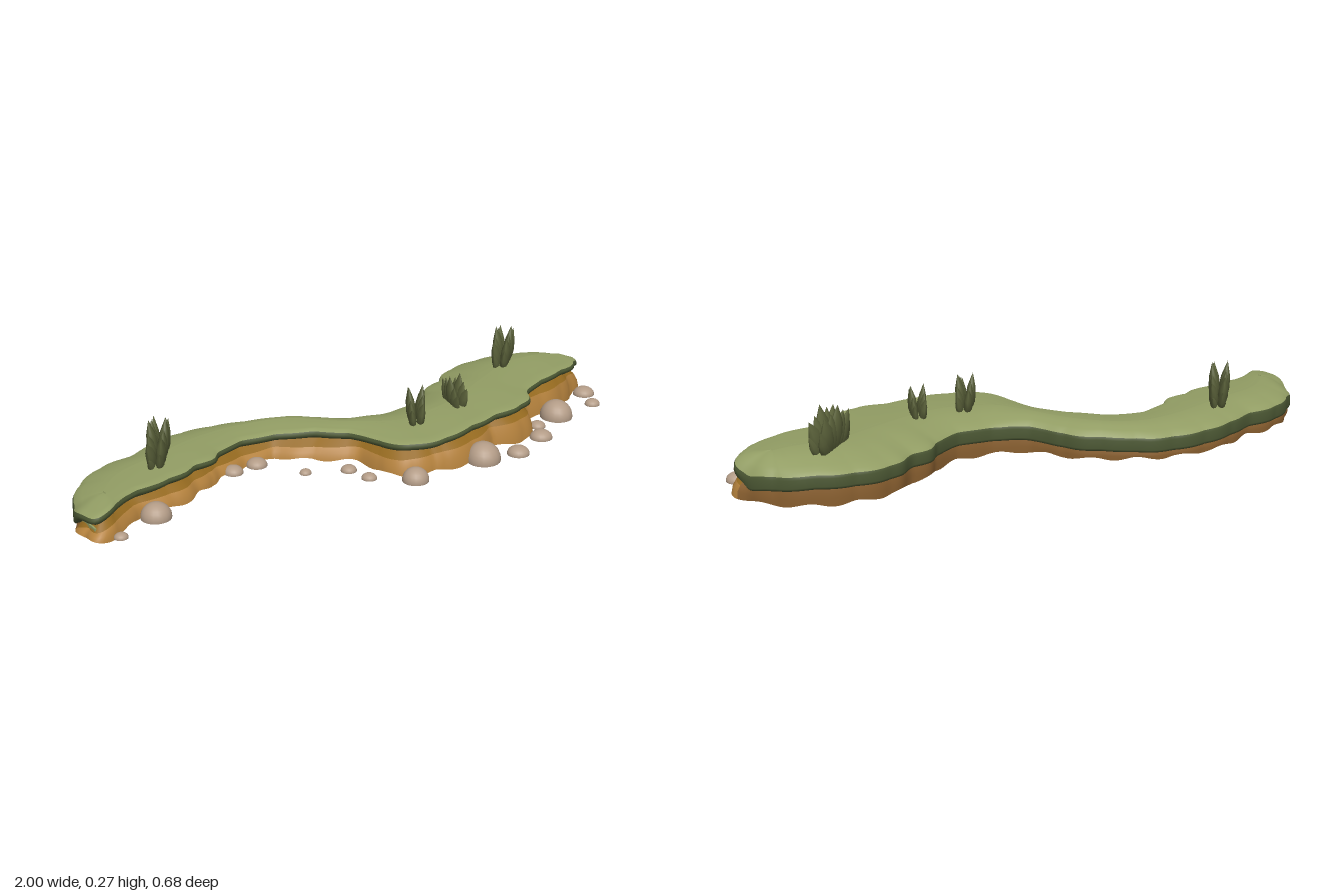
import * as THREE from 'three';

const mat = (name, color, side = THREE.FrontSide) => {
  const m = new THREE.MeshStandardMaterial({ color, side });
  m.name = name;
  return m;
};

// Outline of the ledge as x, z pairs: back edge to the right, then front edge back
const OUTLINE = [
  -1, 0.05, -0.99, -0.03, -0.94, -0.13, -0.87, -0.2, -0.8, -0.24, -0.68, -0.265, -0.6, -0.305, -0.5, -0.335,
  -0.4, -0.34, -0.3, -0.325, -0.2, -0.285, -0.1, -0.235, -0.04, -0.18, 0, -0.125, 0.07, -0.08, 0.2, -0.062,
  0.3, -0.082, 0.35, -0.115, 0.4, -0.165, 0.48, -0.197, 0.53, -0.24, 0.6, -0.265, 0.7, -0.27, 0.8, -0.25,
  0.9, -0.197, 0.96, -0.13, 0.985, -0.07, 0.93, 0, 0.85, 0.04, 0.75, 0.07, 0.63, 0.11, 0.57, 0.18,
  0.5, 0.21, 0.4, 0.217, 0.3, 0.238, 0.15, 0.258, 0.05, 0.23, 0, 0.16, -0.03, 0.06, -0.09, -0.02,
  -0.17, -0.08, -0.25, -0.12, -0.35, -0.135, -0.45, -0.1, -0.5, -0.06, -0.58, -0.04, -0.62, -0.02,
  -0.7, 0, -0.85, 0.03, -0.92, 0.08, -0.98, 0.09,
];
const SPINE = [
  -0.9, -0.01, -0.8, -0.1, -0.65, -0.15, -0.45, -0.215, -0.3, -0.225, -0.15, -0.17, -0.02, -0.03, 0.1, 0.07,
  0.25, 0.08, 0.4, 0.04, 0.55, -0.03, 0.7, -0.09, 0.88, -0.09,
];
const HEIGHTS = [
  [-1, 0.1], [-0.9, 0.115], [-0.6, 0.115], [-0.3, 0.107], [-0.1, 0.115], [0.1, 0.13],
  [0.3, 0.14], [0.55, 0.146], [0.8, 0.15], [0.92, 0.142], [1, 0.125],
];

function curve(flat, closed) {
  const pts = [];
  for (let i = 0; i < flat.length; i += 2) pts.push(new THREE.Vector3(flat[i], 0, flat[i + 1]));
  return new THREE.CatmullRomCurve3(pts, closed, 'centripetal');
}

// Height of the ground along x
function height(x) {
  for (let i = 1; i < HEIGHTS.length; i++) {
    const [x0, y0] = HEIGHTS[i - 1], [x1, y1] = HEIGHTS[i];
    if (x <= x1) return y0 + (y1 - y0) * THREE.MathUtils.smoothstep(x, x0, x1);
  }
  return HEIGHTS[HEIGHTS.length - 1][1];
}

// Joins closed rings of points, listed from the bottom up; keep picks the columns to fill
function loft(rings, keep = () => true) {
  const n = rings[0].length, pos = [], index = [];
  rings.forEach((ring) => ring.forEach((p) => pos.push(p.x, p.y, p.z)));
  for (let r = 0; r < rings.length - 1; r++) {
    for (let i = 0; i < n; i++) {
      if (!keep(i)) continue;
      const j = (i + 1) % n, a = r * n + i, b = r * n + j;
      index.push(a, a + n, b, b, a + n, b + n);
    }
  }
  const g = new THREE.BufferGeometry();
  g.setAttribute('position', new THREE.Float32BufferAttribute(pos, 3));
  g.setIndex(index);
  g.computeVertexNormals();
  return g;
}

export function createModel() {
  const model = new THREE.Group();
  const grassTop = mat('grass', 0x929d64);
  const grassEdge = mat('dark grass edge', 0x4c5834);
  const dirt = mat('dirt', 0xb5823d, THREE.DoubleSide);
  const shadedDirt = mat('golden brown dirt', 0x94691f, THREE.DoubleSide);
  const backDirt = mat('brown dirt', 0x8a6030, THREE.DoubleSide);
  const stone = mat('stone', 0xb39c87, THREE.DoubleSide);
  const foliage = mat('foliage', 0x5c633b);

  const add = (parent, name, geometry, material) => {
    const mesh = new THREE.Mesh(geometry, material);
    mesh.name = name;
    parent.add(mesh);
    return mesh;
  };

  // Each edge point is paired with its nearest point on the centre line; the edge is gently lobed
  const spine = curve(SPINE, false).getSpacedPoints(400);
  const edge = curve(OUTLINE, true).getSpacedPoints(420).slice(0, -1).map((p, i) => {
    const s = spine.reduce((best, q) => (q.distanceToSquared(p) < best.distanceToSquared(p) ? q : best));
    const dir = p.clone().sub(s).normalize();
    const len = p.distanceTo(s) + 0.006 * Math.abs(Math.sin(i * 0.3)) - 0.001;
    return { i, s, len, dir, front: THREE.MathUtils.smoothstep(dir.z, -0.5, 0.5) };
  });

  // Ring from an inset distance and a height, both functions of the edge point
  const ring = (inset, y) => edge.map((e) => {
    const d = inset(e);
    const p = e.s.clone().addScaledVector(e.dir, e.len - d);
    p.y = y(e, p.x, 1 - d / e.len);
    return p;
  });
  const mix = (e, back, front) => back + (front - back) * e.front;
  // The back slopes down further on the left-hand lobe
  const rise = (x) => THREE.MathUtils.smoothstep(x, 0, 0.6);
  const topY = (e, x, t) => height(x) - mix(e, 0.035 + 0.015 * rise(x), 0.01) * t * t;
  const underY = (e, x) => height(x) - mix(e, 0.08 + 0.012 * rise(x), 0.045);
  const recess = (e) => mix(e, 0.01, 0.05);

  // Grass top; both sides run slightly past the centre line so no gap opens there
  add(model, 'grassTop', loft([
    ring(() => 0.004, (e, x, t) => topY(e, x, t) - 0.002),
    ring(() => 0.016, (e, x, t) => topY(e, x, t) + 0.002),
    ...[0.15, 0.4, 0.7, 1].map((k) => ring((e) => 0.016 + (e.len - 0.008) * k, topY)),
  ]), grassTop);
  // Underside of the turf
  add(model, 'grassUnderside', loft([
    ring((e) => e.len + 0.008, (e, x) => height(x) - 0.04),
    ring((e) => e.len * 0.6, (e, x) => height(x) - 0.045),
    ring((e) => recess(e) + 0.006, underY),
  ]), grassTop);
  // Dark rim with an overhanging lip
  add(model, 'grassEdge', loft([
    ring((e) => recess(e) + 0.006, underY),
    ring((e) => mix(e, 0.003, 0.012), (e, x) => underY(e, x) + mix(e, 0, 0.01)),
    ring(() => 0, (e, x) => underY(e, x) + mix(e, 0.008, 0.018)),
    ring(() => 0, (e, x) => topY(e, x, 1) - 0.008),
    ring(() => 0.004, (e, x, t) => topY(e, x, t) - 0.002),
  ]), grassEdge);

  // Scalloped dirt bank, open underneath: front wall, undercut below the lip, browner back wall
  const scallop = (e) => e.front * 0.012 * (Math.abs(Math.sin(e.i * 0.127)) * 2 - 1);
  const bank = [
    ring((e) => mix(e, 0.008, -0.004) - scallop(e), (e) => mix(e, 0.006, 0.014) + 0.005 * Math.sin(e.i * 0.47)),
    ring((e) => mix(e, 0.007, 0.002) - scallop(e), (e, x) => underY(e, x) * 0.5),
    ring((e) => mix(e, 0.008, 0.016) - scallop(e), (e, x) => underY(e, x) - mix(e, 0.008, 0.02)),
    ring((e) => recess(e) - scallop(e) * 0.6, (e, x) => underY(e, x) + 0.004),
  ];
  const isFront = (i) => edge[i].dir.z > 0;
  add(model, 'frontDirt', loft(bank.slice(0, 3), isFront), dirt);
  add(model, 'frontUndercut', loft(bank.slice(2), isFront), shadedDirt);
  add(model, 'backDirt', loft(bank, (i) => !isFront(i)), backDirt);

  // Grassy lining inside the right-hand end of the bank
  add(model, 'endLining', new THREE.BoxGeometry(0.006, 0.04, 0.09), grassTop).position.set(-0.972, 0.029, 0.027);

  // Hollow half-buried stones: x, z, radius; the small ones are flatter
  const stones = new THREE.Group();
  stones.name = 'stones';
  model.add(stones);
  const dome = new THREE.SphereGeometry(1, 20, 8, 0, Math.PI * 2, 0, Math.PI * 0.53);
  [
    [-0.91, 0.11, 0.022], [-0.76, 0.045, 0.048], [-0.41, -0.095, 0.033], [-0.32, -0.1, 0.034],
    [-0.225, 0.04, 0.02], [-0.1, 0.1, 0.026], [-0.08, 0.185, 0.025], [0.035, 0.275, 0.043],
    [0.31, 0.27, 0.06], [0.43, 0.302, 0.037], [0.575, 0.245, 0.038], [0.625, 0.168, 0.027],
    [0.74, 0.13, 0.058], [0.95, 0.035, 0.037], [0.91, 0.125, 0.027],
  ].forEach(([x, z, r], i) => {
    const m = add(stones, 'stone', dome, stone);
    m.position.set(x, 0.019, z);
    m.scale.set(r, r * (r > 0.04 ? 0.94 : 0.7), r * (i % 2 ? 1 : 0.95));
    m.rotation.y = i * 0.9;
  });

  // Broad pointed leaf, thick in the middle
  const leaf = new THREE.LatheGeometry(
    [[0.001, 0], [0.14, 0.2], [0.21, 0.48], [0.17, 0.7], [0.07, 0.88], [0, 1]].map(([x, y]) => new THREE.Vector2(x, y)), 8);

  // Fan-shaped bushes rooted through the turf: x, z, leaf length, direction of the fan, spread, leaves on each side
  [
    [-0.64, -0.155, 0.165, 0.96, 0.78, 3], [0.71, -0.13, 0.165, 0.72, 0.6, 3],
    [0.173, 0.083, 0.15, 1.02, 0.48, 2], [0.35, 0.06, 0.135, 1.3, 0.48, 2],
  ].forEach(([x, z, len, turn, spread, half]) => {
    const bush = new THREE.Group();
    bush.name = 'bush';
    bush.position.set(x, height(x) - 0.047, z);
    bush.rotation.y = turn;
    model.add(bush);
    for (let row = -1; row <= 1; row += 2) {
      for (let k = -half; k <= half; k++) {
        const u = (k + row * 0.25) / half;
        const m = add(bush, 'leaf', leaf, foliage);
        const l = len * (1.04 - 0.2 * u * u - (k & 1 ? 0.09 : 0));
        m.scale.set(l, l, l * 0.5);
        m.position.set(u * len * 0.22 * spread, 0, row * 0.008);
        m.rotation.set(row * 0.1, 0, -u * spread);
      }
    }
  });

  return model;
}
